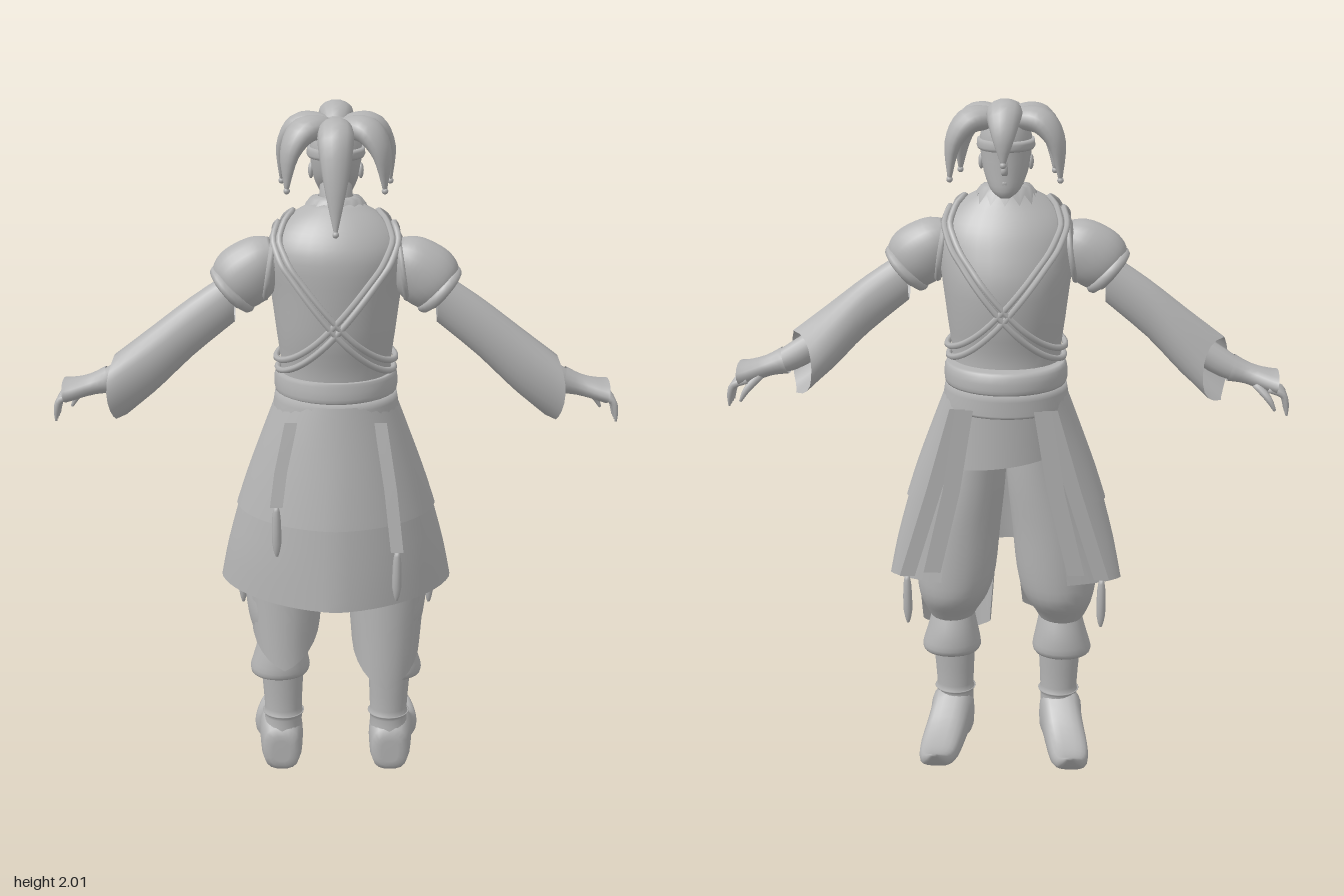
import * as THREE from 'three';

const cloth = new THREE.MeshStandardMaterial({ color: 0xb4b4b4, side: THREE.DoubleSide });
cloth.name = 'plain grey';
const V = (x, y, z) => new THREE.Vector3(x, y, z);

function add(parent, name, geometry) {
  const mesh = new THREE.Mesh(geometry, cloth);
  mesh.name = name;
  parent.add(mesh);
  return mesh;
}

// Skin a list of cross-sections; closed rings wrap round, capped ones get end fans.
function loft(rings, closed = true, capped = closed) {
  const n = rings[0].length, pos = [], idx = [];
  rings.forEach(r => r.forEach(p => pos.push(p.x, p.y, p.z)));
  for (let i = 0; i < rings.length - 1; i++) {
    for (let j = 0; j < (closed ? n : n - 1); j++) {
      const k = (j + 1) % n, a = i * n + j, b = i * n + k, c = a + n, d = b + n;
      idx.push(a, c, b, b, c, d);
    }
  }
  if (capped) [0, rings.length - 1].forEach((r, end) => {
    const mid = V(0, 0, 0), centre = pos.length / 3;
    rings[r].forEach(p => mid.addScaledVector(p, 1 / n));
    pos.push(mid.x, mid.y, mid.z);
    for (let j = 0; j < n; j++) {
      const a = r * n + j, b = r * n + (j + 1) % n;
      end ? idx.push(centre, b, a) : idx.push(centre, a, b);
    }
  });
  const g = new THREE.BufferGeometry();
  g.setAttribute('position', new THREE.Float32BufferAttribute(pos, 3));
  g.setIndex(idx);
  g.computeVertexNormals();
  return g;
}

// Horizontal arc of an ellipse, from angle a0 to a1.
const arc = ([y, cx, cz, rx, rz], a0, a1, n) => Array.from({ length: n + 1 }, (_, i) => {
  const a = a0 + (a1 - a0) * i / n;
  return V(cx + rx * Math.cos(a), y, cz + rz * Math.sin(a));
});

// Smoothly resample rows of numbers.
function resample(rows, steps) {
  const out = [], m = rows.length - 1;
  for (let i = 0; i <= m * steps; i++) {
    const k = Math.min(Math.floor(i / steps), m - 1), t = i / steps - k;
    const at = j => rows[Math.max(0, Math.min(m, j))];
    out.push(rows[0].map((_, c) => {
      const p = at(k - 1)[c], q = at(k)[c], r = at(k + 1)[c], s = at(k + 2)[c];
      return q + 0.5 * t * (r - p + t * (2 * p - 5 * q + 4 * r - s + t * (3 * (q - r) + s - p)));
    }));
  }
  return out;
}

// Stack of ellipses, rows of [y, cx, cz, rx, rz] going upwards.
const stack = (rows, steps = 3, n = 24) =>
  loft(resample(rows, steps).map(r => arc(r, 0, 2 * Math.PI, n).slice(0, n)));

// Tapered sweep, rows of [x, y, z, radius along w, other radius].
function sweep(rows, w, n = 14, steps = 4, capped = true) {
  const pts = resample(rows, steps);
  return loft(pts.map((r, i) => {
    const a = pts[Math.max(0, i - 1)], b = pts[Math.min(pts.length - 1, i + 1)];
    const t = V(b[0] - a[0], b[1] - a[1], b[2] - a[2]).normalize();
    const u = w.clone().cross(t).normalize();
    return Array.from({ length: n }, (_, j) => {
      const q = j / n * 2 * Math.PI;
      return V(r[0], r[1], r[2]).addScaledVector(w, r[3] * Math.cos(q)).addScaledVector(u, r[4] * Math.sin(q));
    });
  }), true, capped);
}

const TORSO = [[1.1, 0, 0.01, 0.16, 0.135], [1.27, 0, 0.02, 0.155, 0.13], [1.38, 0, 0.022, 0.167, 0.152],
  [1.5, 0, 0.024, 0.182, 0.162], [1.6, 0, 0.04, 0.195, 0.148], [1.66, 0, 0.045, 0.178, 0.122],
  [1.71, 0, 0.045, 0.128, 0.085], [1.745, 0, 0.035, 0.065, 0.055]];

function torsoAt(y) {
  const i = Math.max(1, TORSO.findIndex(r => r[0] >= y)), a = TORSO[i - 1], b = TORSO[i];
  return a.map((v, c) => v + (b[c] - v) * (y - a[0]) / (b[0] - a[0]));
}

// Cross strap running round the body from one shoulder to the opposite hip.
function crossStrap(s, lift) {
  const pts = [];
  for (let i = 0; i < 40; i++) {
    const a = i / 40 * 2 * Math.PI, t = (1 + s * Math.cos(a)) / 2;
    const y = 1.27 + lift + 0.13 * t + 0.29 * t * t, r = torsoAt(y);
    pts.push(V((r[3] + 0.01) * Math.cos(a), y, r[2] + (r[4] + 0.01) * Math.sin(a)));
  }
  return new THREE.TubeGeometry(new THREE.CatmullRomCurve3(pts, true), 80, 0.009, 6, true);
}

const ribbon = (pts, w) => loft(pts.map(([x, y, z]) => [V(x - w, y, z), V(x + w, y, z)]), false);

// Hanging band with a tassel on its end.
function tasselBand(parent, pts, width) {
  add(parent, 'hangingBand', ribbon(pts, width));
  const [x, y, z] = pts[pts.length - 1];
  add(parent, 'tassel', stack([[y - 0.15, x, z, 0.004, 0.004], [y - 0.11, x, z, 0.013, 0.012],
    [y - 0.03, x, z, 0.012, 0.011], [y, x, z, 0.007, 0.007]], 2, 8));
}

function buildLeg(side) {
  const leg = new THREE.Group();
  add(leg, 'baggyTrouserLeg', stack([[0.42, 0.165, 0.05, 0.06, 0.06], [0.46, 0.165, 0.045, 0.08, 0.085],
    [0.52, 0.158, 0.03, 0.105, 0.115], [0.6, 0.15, 0.022, 0.118, 0.117], [0.75, 0.135, 0.02, 0.118, 0.115],
    [0.9, 0.105, 0.02, 0.103, 0.115], [1.05, 0.085, 0.02, 0.085, 0.115], [1.17, 0.075, 0.02, 0.075, 0.11]]));
  add(leg, 'flaredCuff', stack([[0.315, 0.17, 0.045, 0.084, 0.072], [0.335, 0.168, 0.042, 0.089, 0.082],
    [0.39, 0.165, 0.042, 0.076, 0.077], [0.45, 0.163, 0.045, 0.062, 0.06]]));
  add(leg, 'bootShaft', stack([[0.1, 0.165, 0.05, 0.06, 0.056], [0.165, 0.16, 0.05, 0.056, 0.05],
    [0.18, 0.16, 0.05, 0.063, 0.056], [0.195, 0.16, 0.05, 0.056, 0.048], [0.36, 0.162, 0.048, 0.066, 0.054]]));
  // curled shoe, rows of [z, centre x, sole y, top y, half width]
  const shoe = resample([[0.108, 0.165, 0.03, 0.1, 0.025], [0.1, 0.165, 0, 0.14, 0.055], [0.04, 0.167, 0, 0.185, 0.066],
    [0, 0.172, 0.012, 0.165, 0.062], [-0.05, 0.183, 0.012, 0.122, 0.062], [-0.1, 0.194, 0.004, 0.092, 0.061],
    [-0.15, 0.2, 0.013, 0.076, 0.055], [-0.2, 0.202, 0.04, 0.084, 0.04], [-0.24, 0.202, 0.094, 0.104, 0.01]], 2);
  const sq = v => Math.sign(v) * Math.abs(v) ** 0.7;
  add(leg, 'curledShoe', loft(shoe.map(([z, cx, lo, hi, w]) => Array.from({ length: 18 }, (_, j) => {
    const a = j / 18 * 2 * Math.PI;
    return V(cx + w * sq(Math.cos(a)), (lo + hi) / 2 + (hi - lo) / 2 * sq(Math.sin(a)), z);
  }))));
  // pointed cloth over the calf, longer on one side
  const drop = side > 0 ? 0.305 : 0.37, cloths = [];
  for (let i = 4; i >= 0; i--) {
    cloths.push(Array.from({ length: 15 }, (_, j) => {
      const a = Math.PI * (j / 14 * 1.1 - 0.05), t = i / 4;
      const hem = drop + 0.3 * Math.abs(j / 14 - 0.5) ** 1.2;
      return V(0.15 + (0.122 - 0.02 * t) * Math.cos(a), hem + (0.68 - hem) * (1 - t), 0.022 + (0.122 + 0.018 * t) * Math.sin(a));
    }));
  }
  add(leg, 'calfCloth', loft(cloths, false));
  return leg;
}

function buildArm() {
  const arm = new THREE.Group(), Z = V(0, 0, 1);
  add(arm, 'puffShoulder', sweep([[0.16, 1.605, 0.06, 0.05, 0.05], [0.2, 1.585, 0.06, 0.07, 0.077],
    [0.245, 1.55, 0.062, 0.076, 0.09], [0.28, 1.52, 0.064, 0.07, 0.082], [0.305, 1.5, 0.064, 0.05, 0.06]], Z, 20));
  const band = add(arm, 'armBand', new THREE.TorusGeometry(0.066, 0.016, 8, 24));
  band.position.set(0.285, 1.508, 0.064);
  band.rotation.set(0, Math.PI / 2, -0.75, 'ZYX');
  // hanging bell sleeve cut back along the face side, rows of [x, y, z, half height, half depth, cut]
  const bell = [[0.28, 1.49, 0.064, 0.075, 0.04, 0], [0.4, 1.4, 0.063, 0.085, 0.048, 0],
    [0.52, 1.303, 0.061, 0.096, 0.058, 0.03], [0.64, 1.222, 0.06, 0.095, 0.066, 0.08]];
  add(arm, 'bellSleeve', loft(resample(bell, 3).map(([x, y, z, h, d, cut]) => Array.from({ length: 20 }, (_, j) => {
    const a = j / 20 * 2 * Math.PI, c = Math.cos(a), s = Math.sin(a);
    return V(x - cut * Math.max(0, -c) - 0.25 * cut * s * s, y + h * s, z + d * c);
  })), true, false));
  add(arm, 'forearm', sweep([[0.44, 1.36, 0.06, 0.032, 0.035], [0.6, 1.255, 0.045, 0.035, 0.04],
    [0.69, 1.215, 0.03, 0.028, 0.026], [0.74, 1.195, 0.02, 0.04, 0.02], [0.77, 1.18, 0.015, 0.035, 0.012]], Z));
  add(arm, 'flaredGlove', sweep([[0.64, 1.235, 0.035, 0.04, 0.04], [0.69, 1.22, 0.03, 0.038, 0.03],
    [0.745, 1.205, 0.025, 0.06, 0.03], [0.77, 1.2, 0.022, 0.072, 0.032]], Z, 14, 3, false));
  for (let i = 0; i < 4; i++) {
    const z = -0.025 + i * 0.022;
    add(arm, 'finger', sweep([[0.745, 1.19, z, 0.011, 0.01], [0.785, 1.175, z, 0.01, 0.01],
      [0.797, 1.145, z, 0.009, 0.008], [0.8, 1.112, z, 0.003, 0.003]], Z, 8, 3));
  }
  add(arm, 'thumb', sweep([[0.71, 1.2, -0.005, 0.012, 0.012], [0.745, 1.165, -0.03, 0.011, 0.01],
    [0.765, 1.13, -0.035, 0.004, 0.004]], Z, 8, 3));
  // armhole edging of the vest
  const hole = add(arm, 'vestArmhole', new THREE.TorusGeometry(0.088, 0.009, 6, 24));
  hole.position.set(0.182, 1.57, 0.055);
  hole.rotation.set(0, Math.PI / 2, 0.15, 'ZYX');
  return arm;
}

function buildHead() {
  const head = new THREE.Group();
  add(head, 'neck', stack([[1.68, 0, 0.03, 0.05, 0.045], [1.82, 0, 0.012, 0.042, 0.042]], 2));
  add(head, 'face', stack([[1.735, 0, -0.05, 0.014, 0.014], [1.755, 0, -0.034, 0.04, 0.04], [1.8, 0, -0.01, 0.06, 0.064],
    [1.85, 0, 0, 0.069, 0.074], [1.9, 0, 0.002, 0.07, 0.076], [1.95, 0, 0, 0.048, 0.055], [1.97, 0, 0, 0.01, 0.01]]));
  add(head, 'nose', sweep([[0, 1.845, -0.07, 0.006, 0.006], [0, 1.815, -0.08, 0.01, 0.011], [0, 1.803, -0.073, 0.009, 0.006]], V(1, 0, 0), 8));
  add(head, 'lips', new THREE.SphereGeometry(0.016, 10, 6)).position.set(0, 1.778, -0.06);
  add(head, 'headBand', stack([[1.862, 0, 0, 0.075, 0.08], [1.87, 0, 0, 0.08, 0.085], [1.89, 0, 0, 0.078, 0.083]], 2));
  [-1, 1].forEach(s => {
    const ear = add(head, 'ear', new THREE.SphereGeometry(0.02, 10, 8));
    ear.position.set(s * 0.068, 1.825, 0.005);
    ear.scale.set(0.4, 1.1, 0.8);
  });
  // drooping hat horns: heading, then rows of [distance, height, half width, half thickness]
  const front = [[0, 1.935, 0.03, 0.025], [0.045, 1.965, 0.045, 0.035], [0.095, 1.962, 0.047, 0.034], [0.135, 1.91, 0.03, 0.02], [0.143, 1.84, 0.005, 0.005]];
  const back = [[0, 1.93, 0.03, 0.025], [0.075, 1.945, 0.045, 0.035], [0.135, 1.92, 0.048, 0.035], [0.175, 1.82, 0.032, 0.02], [0.198, 1.69, 0.004, 0.004]];
  const flank = [[0, 1.93, 0.03, 0.025], [0.055, 1.945, 0.046, 0.032], [0.11, 1.937, 0.05, 0.034], [0.15, 1.88, 0.034, 0.022], [0.16, 1.785, 0.005, 0.005]];
  [[-Math.PI / 2, front], [Math.PI / 2, back], [-0.35, flank], [Math.PI + 0.35, flank], [0.6, flank], [Math.PI - 0.6, flank]].forEach(([a, rows]) => {
    const c = Math.cos(a), s = Math.sin(a), w = V(-s, 0, c);
    add(head, 'hatHorn', sweep(rows.map(([r, y, p, q]) => [r * c, y, r * s, p, q]), w));
    const [r, y] = rows[rows.length - 1];
    add(head, 'hatBell', new THREE.SphereGeometry(0.009, 10, 8)).position.set(r * c, y, r * s);
  });
  // ruffled collar with pointed teeth
  const teeth = [[0.088, 1.725, 0.014], [0.07, 1.755, 0.002], [0.048, 1.76, 0]].map(([r, y, z]) => Array.from({ length: 28 }, (_, j) => {
    const a = j / 28 * 2 * Math.PI, k = j % 2 ? 1 : -1;
    return V((r + k * z / 3) * Math.cos(a), y - k * z, 0.025 + (r + k * z / 3) * Math.sin(a) * 0.85);
  }));
  add(head, 'ruffledCollar', loft(teeth, true, false));
  return head;
}

// Open coat skirt, rows of [y, centre z, half width, back depth, front depth, pinch, opening angle].
const skirt = rows => loft(resample(rows, 3).map(([y, cz, rx, back, front, pinch, open]) =>
  Array.from({ length: 45 }, (_, i) => {
    const a = -open + (Math.PI + 2 * open) * i / 44, s = Math.sin(a), k = 1 - pinch * Math.abs(Math.sin(2 * a));
    return V(rx * k * Math.cos(a), y, cz + k * s * (s > 0 ? back : front));
  })), false);

export function createModel() {
  const model = new THREE.Group();
  model.name = 'jesterFigure';
  for (const s of [1, -1]) {
    const half = new THREE.Group();
    half.name = s > 0 ? 'leftLimbs' : 'rightLimbs';
    half.add(buildLeg(s), buildArm());
    half.scale.x = s;
    model.add(half);
  }
  const body = new THREE.Group();
  body.name = 'body';
  model.add(body, buildHead());
  add(body, 'torso', stack(TORSO, 3, 32));
  [1, -1].forEach(s => [0, 0.032].forEach(l => add(body, 'crossStrap', crossStrap(s, l))));
  // sash wrapped in two layers
  add(body, 'upperSash', stack([[1.2, 0, 0, 0.172, 0.158], [1.215, 0, 0, 0.176, 0.162], [1.25, 0, 0, 0.174, 0.158], [1.262, 0, 0.005, 0.165, 0.15]], 2, 32));
  add(body, 'lowerSash', stack([[1.13, 0, 0.005, 0.182, 0.158], [1.15, 0, 0.005, 0.181, 0.158], [1.205, 0, 0.003, 0.172, 0.155]], 2, 32));
  // coat skirt in two tiers
  add(body, 'lowerSkirt', skirt([[0.6, -0.03, 0.344, 0.27, 0.1, 0.08, 0.95], [0.72, -0.02, 0.32, 0.25, 0.105, 0.06, 0.97], [0.87, -0.01, 0.28, 0.226, 0.117, 0.04, 1]]));
  add(body, 'upperSkirt', skirt([[0.845, -0.01, 0.292, 0.234, 0.122, 0.04, 1], [0.95, -0.005, 0.258, 0.21, 0.13, 0.03, 1.02],
    [1.08, 0, 0.21, 0.18, 0.138, 0.01, 1.04], [1.19, 0, 0.168, 0.16, 0.148, 0, 1.05]]));
  // short flap below the sash
  add(body, 'frontFlap', loft([[0.98, 0, 0.01, 0.19, 0.155], [1.07, 0, 0.01, 0.185, 0.157], [1.17, 0, 0.005, 0.178, 0.156]]
    .map((r, i) => arc(r, -Math.PI + 0.75, -0.75, 16).map((p, j) => V(p.x, p.y + (i ? 0 : 0.003 * (8 - j)), p.z))), false));
  // bands hanging from the sash
  tasselBand(body, [[-0.125, 1.14, 0.137], [-0.155, 1.0, 0.162], [-0.168, 0.9, 0.178]], 0.018);
  tasselBand(body, [[0.125, 1.14, 0.137], [0.155, 0.95, 0.172], [0.175, 0.77, 0.198]], 0.018);
  [-1, 1].forEach(s => {
    tasselBand(body, [[s * 0.13, 1.15, -0.128], [s * 0.2, 0.9, -0.118], [s * 0.285, 0.62, -0.105]], 0.022);
    add(body, 'frontPanel', ribbon([[s * 0.11, 1.15, -0.138], [s * 0.15, 0.9, -0.13], [s * 0.21, 0.64, -0.12]], 0.025));
  });
  return model;
}
